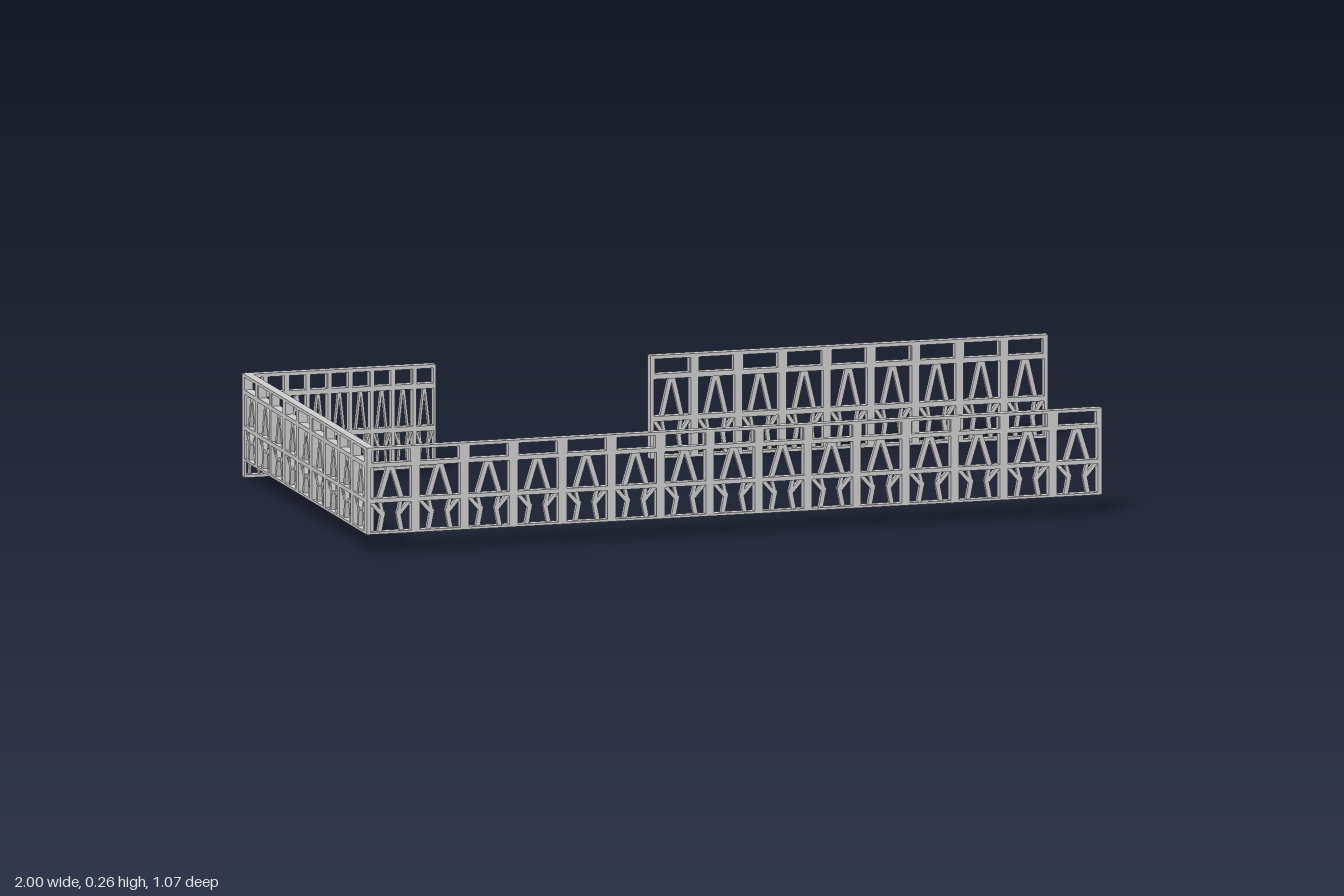
import * as THREE from 'three';

const grey = new THREE.MeshStandardMaterial({ color: 0xcccccc });
grey.name = 'pale grey paint';

const DEPTH = 0.022;
const LATTICE_DEPTH = 0.012;

// Bar from corner to corner, with u across the run and v up
function rect(parent, name, u0, u1, v0, v1, depth = DEPTH) {
  const mesh = new THREE.Mesh(new THREE.BoxGeometry(u1 - u0, v1 - v0, depth), grey);
  mesh.position.set((u0 + u1) / 2, (v0 + v1) / 2, 0);
  mesh.name = name;
  parent.add(mesh);
}

// Slanted strip: flat-ended parallelogram of horizontal width w
function strip(parent, name, a, b, w) {
  const [lo, hi] = a[1] < b[1] ? [a, b] : [b, a];
  const shape = new THREE.Shape([
    new THREE.Vector2(lo[0] - w / 2, lo[1]), new THREE.Vector2(lo[0] + w / 2, lo[1]),
    new THREE.Vector2(hi[0] + w / 2, hi[1]), new THREE.Vector2(hi[0] - w / 2, hi[1]),
  ]);
  const geo = new THREE.ExtrudeGeometry(shape, { depth: LATTICE_DEPTH, bevelEnabled: false });
  geo.translate(0, 0, -LATTICE_DEPTH / 2);
  const mesh = new THREE.Mesh(geo, grey);
  mesh.name = name;
  parent.add(mesh);
}

// Railing between two ground points [x, z], split into equal bays
function railing(name, from, to, y0, y1, bays) {
  const run = new THREE.Group();
  run.name = name;
  const dx = to[0] - from[0], dz = to[1] - from[1];
  const length = Math.hypot(dx, dz), h = y1 - y0, bay = length / bays;
  run.position.set(from[0], y0, from[1]);
  run.rotation.y = Math.atan2(-dz, dx);

  // Horizontal rails
  rect(run, 'topRail', 0, length, 0.965 * h, h);
  rect(run, 'upperRail', 0, length, 0.77 * h, 0.82 * h);
  rect(run, 'middleRail', 0, length, 0.36 * h, 0.41 * h);
  rect(run, 'bottomRail', 0, length, 0, 0.028 * h);

  // Posts, with a slightly wider block beside each top opening
  for (let i = 0; i <= bays; i++) {
    const clamp = (u) => Math.min(length, Math.max(0, u));
    const u = i * bay;
    rect(run, 'post', clamp(u - 0.085 * bay), clamp(u + 0.085 * bay), 0, h);
    rect(run, 'postHead', clamp(u - 0.11 * bay), clamp(u + 0.11 * bay), 0.8 * h, 0.98 * h, DEPTH * 0.9);
  }

  // Lattice in each bay, mirrored about its centre
  for (let i = 0; i < bays; i++) {
    for (const s of [-1, 1]) {
      const p = (u, v) => [(i + 0.5 + s * u) * bay, v * h];
      strip(run, 'peakLeg', p(0.03, 0.77), p(0.23, 0.39), 0.1 * bay);
      strip(run, 'lowerArm', p(0.4, 0.37), p(0.16, 0.21), 0.1 * bay);
      strip(run, 'lowerLeg', p(0.15, 0.25), p(0.23, 0.01), 0.09 * bay);
      strip(run, 'innerBrace', p(0.22, 0.38), p(0.15, 0.21), 0.07 * bay);
    }
  }
  return run;
}

export function createModel() {
  const model = new THREE.Group();
  model.name = 'railings';
  model.add(
    railing('frontRailing', [-0.99, 0.523], [0.84, 0.493], 0.05, 0.26, 15),
    railing('sideRailing', [-0.979, 0.522], [-0.989, -0.5], 0.05, 0.26, 9),
    railing('backShortRailing', [-1, -0.496], [-0.525, -0.5], 0.01, 0.26, 9),
    railing('backLongRailing', [0.012, -0.52], [1, -0.528], 0, 0.25, 9),
  );
  return model;
}
